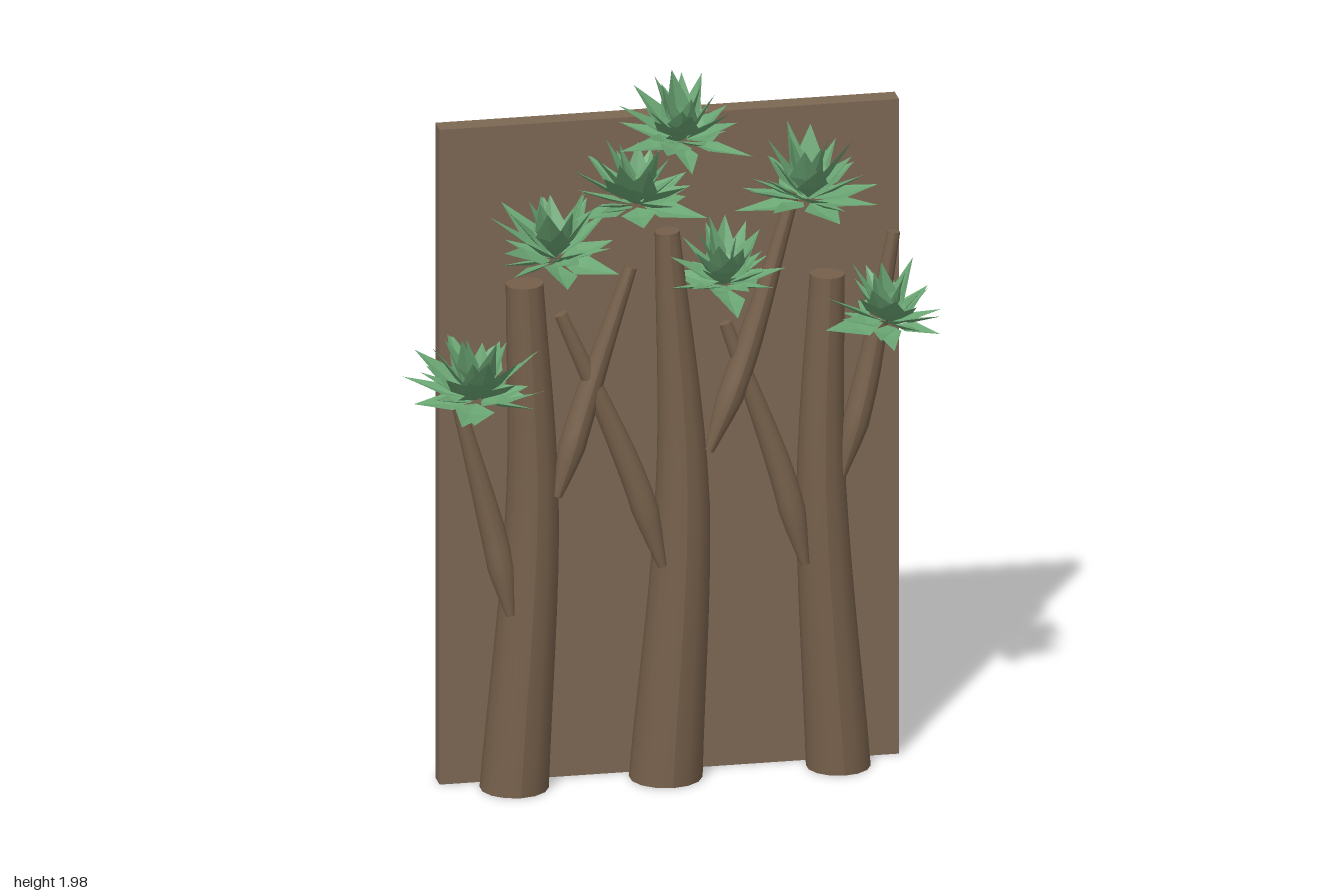
import * as THREE from 'three';
import { mergeGeometries } from 'three/addons/utils/BufferGeometryUtils.js';

const panelBrown = new THREE.MeshStandardMaterial({ color: 0x7c6753 });
panelBrown.name = 'panelBrown';
const barkBrown = new THREE.MeshStandardMaterial({ color: 0x755f4a });
barkBrown.name = 'barkBrown';
const leafGreen = new THREE.MeshStandardMaterial({ color: 0x6aa573, flatShading: true, side: THREE.DoubleSide });
leafGreen.name = 'leafGreen';

// Small seeded generator for leaf variation
let seed = 11;
const rand = () => (seed = (seed * 16807) % 2147483647) / 2147483647;
const vary = (amount) => (rand() * 2 - 1) * amount;

// Bent limb whose radius follows a list of values from base to tip, closed by a flat cap
function limb(name, points, radii) {
  const curve = new THREE.CatmullRomCurve3(points.map((p) => new THREE.Vector3(...p)));
  const rings = 14, sides = 14;
  const tube = new THREE.TubeGeometry(curve, rings, 1, sides, false);
  const pos = tube.attributes.position;
  const v = new THREE.Vector3();
  let tipRadius = 0;
  for (let i = 0; i <= rings; i++) {
    const centre = curve.getPointAt(i / rings);
    const f = (i / rings) * (radii.length - 1);
    const k = Math.min(Math.floor(f), radii.length - 2);
    const r = THREE.MathUtils.lerp(radii[k], radii[k + 1], f - k);
    tipRadius = r;
    for (let j = 0; j <= sides; j++) {
      const n = i * (sides + 1) + j;
      v.fromBufferAttribute(pos, n).sub(centre).multiplyScalar(r).add(centre);
      pos.setXYZ(n, v.x, i === 0 && points[0][1] === 0 ? 0 : Math.max(v.y, 0), v.z);
    }
  }
  tube.computeVertexNormals();
  const caps = [[1, 1, tipRadius], [0, -1, radii[0]]].map(([t, dir, r]) => {
    const cap = new THREE.CircleGeometry(r, sides);
    const normal = points[0][1] === 0 && t === 0 ? new THREE.Vector3(0, -1, 0) : curve.getTangentAt(t).multiplyScalar(dir);
    cap.applyQuaternion(new THREE.Quaternion().setFromUnitVectors(new THREE.Vector3(0, 0, 1), normal));
    const c = curve.getPointAt(t);
    return cap.translate(c.x, c.y, c.z);
  });
  const mesh = new THREE.Mesh(mergeGeometries([tube, ...caps]), barkBrown);
  mesh.name = name;
  return mesh;
}

// Burst of pointed, slightly folded leaves around one centre
function leafCluster(cx, cy, cz, size) {
  const verts = [];
  const count = 34;
  const centre = new THREE.Vector3(cx, cy, cz);
  for (let i = 0; i < count; i++) {
    const az = i * 2.39996 + vary(0.25);
    const el = -0.12 + 1.45 * Math.pow(i / (count - 1), 1.1) + vary(0.12);
    const dir = new THREE.Vector3(Math.cos(el) * Math.sin(az), Math.sin(el), Math.cos(el) * Math.cos(az));
    const side = new THREE.Vector3(Math.cos(az), vary(0.35), -Math.sin(az)).normalize();
    const up = new THREE.Vector3().crossVectors(dir, side).normalize();
    let length = size * (0.85 + vary(0.18));
    // Leaves reaching back stop inside the panel
    if (dir.z < 0) length = Math.min(length, (cz + 0.175) / -dir.z);
    const width = size * 0.2 * (1 + vary(0.25));
    const at = (along, across, lift) => centre.clone()
      .addScaledVector(dir, along * length).addScaledVector(side, across * width).addScaledVector(up, lift);
    const base = at(0.1, 0, 0), tip = at(1, 0, 0), rib = at(0.45, 0, -0.006);
    const a = at(0.42, -1, 0.004), b = at(0.42, 1, 0.004);
    for (const p of [base, a, rib, a, tip, rib, base, rib, b, rib, tip, b]) verts.push(p.x, p.y, p.z);
  }
  const geo = new THREE.BufferGeometry();
  geo.setAttribute('position', new THREE.Float32BufferAttribute(verts, 3));
  geo.computeVertexNormals();
  const mesh = new THREE.Mesh(geo, leafGreen);
  mesh.name = 'leafCluster';
  return mesh;
}

export function createModel() {
  seed = 11;
  const model = new THREE.Group();
  model.name = 'treePanel';

  // Backing board
  const panel = new THREE.Mesh(new THREE.BoxGeometry(1.24, 1.84, 0.058), panelBrown);
  panel.name = 'backPanel';
  panel.position.set(0.01, 0.92, -0.165);
  model.add(panel);

  // Three gently bent trunks
  const trunks = [
    [[[-0.42, 0, -0.08], [-0.37, 0.8, -0.085], [-0.39, 1.41, -0.09]], [0.092, 0.073, 0.05]],
    [[[-0.01, 0, -0.085], [0.035, 0.8, -0.085], [-0.005, 1.53, -0.09]], [0.098, 0.073, 0.033]],
    [[[0.455, 0, -0.08], [0.41, 0.8, -0.085], [0.427, 1.38, -0.09]], [0.086, 0.069, 0.046]],
  ];
  trunks.forEach(([path, radii]) => model.add(limb('trunk', path, radii)));

  // Tapering branches, two to a trunk
  const branches = [
    [[-0.44, 0.5, -0.03], [-0.475, 0.7, -0.06], [-0.575, 1.1, -0.08]],
    [[-0.31, 0.82, -0.045], [-0.23, 1.07, -0.07], [-0.105, 1.44, -0.08]],
    [[-0.03, 0.61, -0.03], [-0.1, 0.85, -0.055], [-0.295, 1.32, -0.08]],
    [[0.1, 0.92, -0.045], [0.2, 1.17, -0.07], [0.335, 1.62, -0.08]],
    [[0.355, 0.59, -0.03], [0.3, 0.83, -0.055], [0.15, 1.265, -0.08]],
    [[0.46, 0.82, -0.06], [0.535, 1.1, -0.08], [0.605, 1.49, -0.08]],
  ];
  branches.forEach((path) => model.add(limb('branch', path, [0.012, 0.036, 0.034, 0.028, 0.022, 0.017])));

  // Foliage
  const clusters = [
    [-0.53, 1.11, -0.03, 0.21], [-0.32, 1.49, -0.03, 0.21], [-0.1, 1.63, -0.03, 0.2],
    [0.03, 1.79, -0.06, 0.2], [0.14, 1.39, -0.03, 0.19], [0.36, 1.61, -0.03, 0.22],
    [0.58, 1.25, -0.03, 0.19],
  ];
  clusters.forEach((c) => model.add(leafCluster(...c)));
  return model;
}
